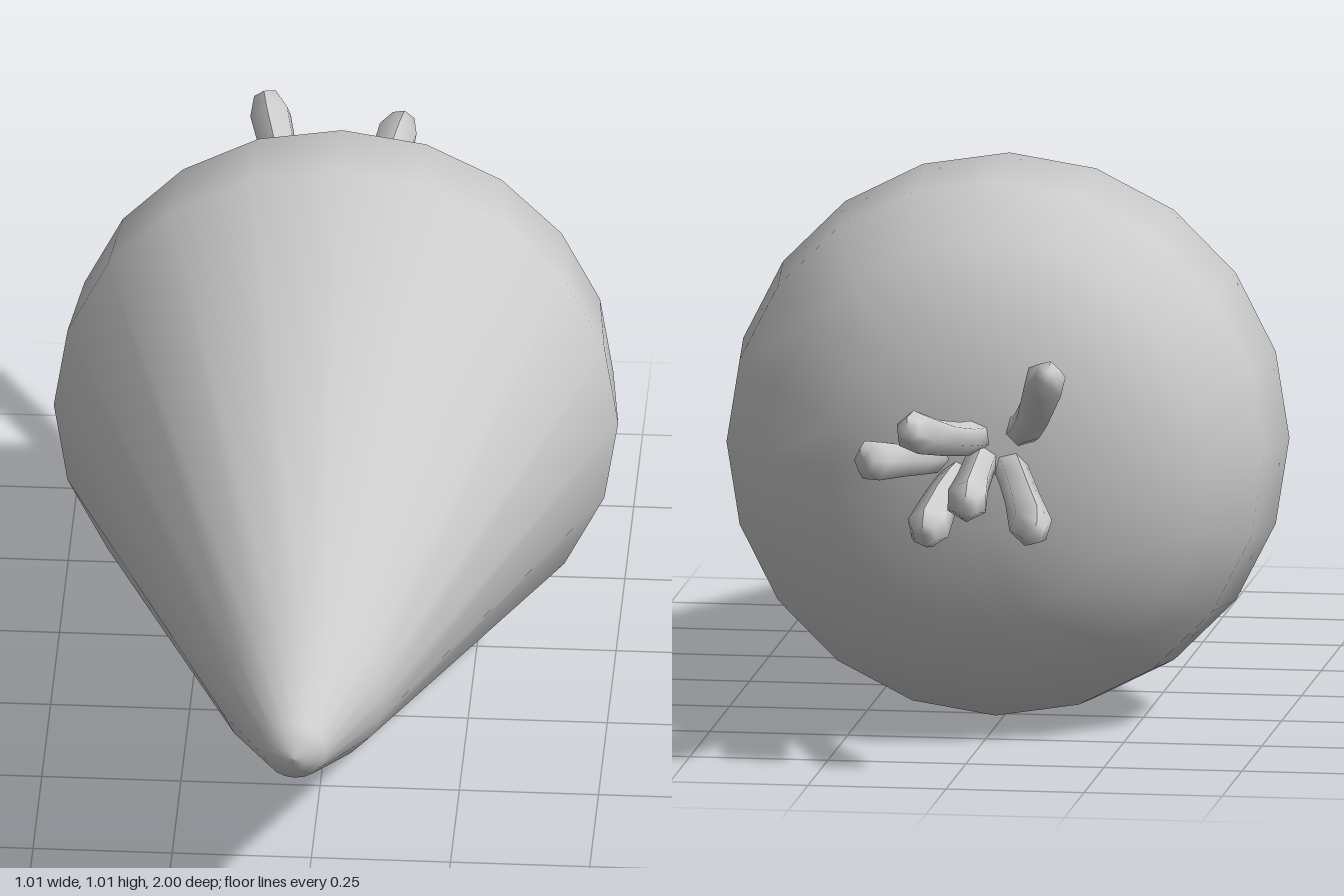
import * as THREE from 'three';

const AXIS_Y = 0.507;
const v2 = ([r, h]) => new THREE.Vector2(r, h);

// Stalk: a six-sided rod with a chamfered end, bent along a curve
function makeStalk(points, radius, material) {
  const curve = new THREE.CatmullRomCurve3(points.map(p => new THREE.Vector3(...p)));
  const profile = [[0.85, 0], [0.85, 0.3], [0.9, 0.6], [1.1, 0.91], [0.65, 1], [0, 1]];
  const geo = new THREE.LatheGeometry(profile.map(([r, t]) => v2([r * radius, t])), 6);
  const pos = geo.attributes.position;
  const up = new THREE.Vector3(0, 1, 0);
  const turn = new THREE.Quaternion();
  const p = new THREE.Vector3();
  for (let i = 0; i < pos.count; i++) {
    const t = pos.getY(i);
    turn.setFromUnitVectors(up, curve.getTangent(t));
    p.set(pos.getX(i), 0, pos.getZ(i)).applyQuaternion(turn).add(curve.getPoint(t));
    pos.setXYZ(i, p.x, p.y, p.z);
  }
  geo.computeVertexNormals();
  return new THREE.Mesh(geo, material);
}

export function createModel() {
  const group = new THREE.Group();
  const material = new THREE.MeshStandardMaterial({ color: 0xcccccc });

  // Root: twenty-sided turned body lying along z, tip to the front
  const profile = [
    [0, -0.638], [0.1, -0.633], [0.27, -0.61], [0.4, -0.51], [0.487, -0.378],
    [0.507, -0.2], [0.15, 0.77], [0.056, 0.97], [0.025, 0.993], [0, 1],
  ];
  const rootGeo = new THREE.LatheGeometry(profile.map(v2), 20);
  rootGeo.rotateX(Math.PI / 2);
  const root = new THREE.Mesh(rootGeo, material);
  root.name = 'root';
  root.position.y = AXIS_Y;
  group.add(root);

  // Leaf stalks: base, bend and tip of each
  const stalks = new THREE.Group();
  stalks.name = 'stalks';
  [
    [[0.0, 0.57, -0.61], [0.025, 0.595, -0.77], [0.07, 0.65, -0.99]],
    [[-0.08, 0.585, -0.61], [-0.115, 0.625, -0.73], [-0.17, 0.745, -0.9]],
    [[-0.06, 0.52, -0.61], [-0.1, 0.5, -0.76], [-0.15, 0.46, -0.945]],
    [[-0.01, 0.53, -0.61], [-0.015, 0.52, -0.75], [-0.022, 0.5, -0.91]],
    [[0.03, 0.5, -0.61], [0.04, 0.49, -0.74], [0.055, 0.44, -0.89]],
    [[0.07, 0.535, -0.61], [0.11, 0.545, -0.71], [0.175, 0.56, -0.815]],
  ].forEach((points, i) => {
    const stalk = makeStalk(points, 0.036, material);
    stalk.name = `stalk${i + 1}`;
    stalks.add(stalk);
  });
  group.add(stalks);

  return group;
}
